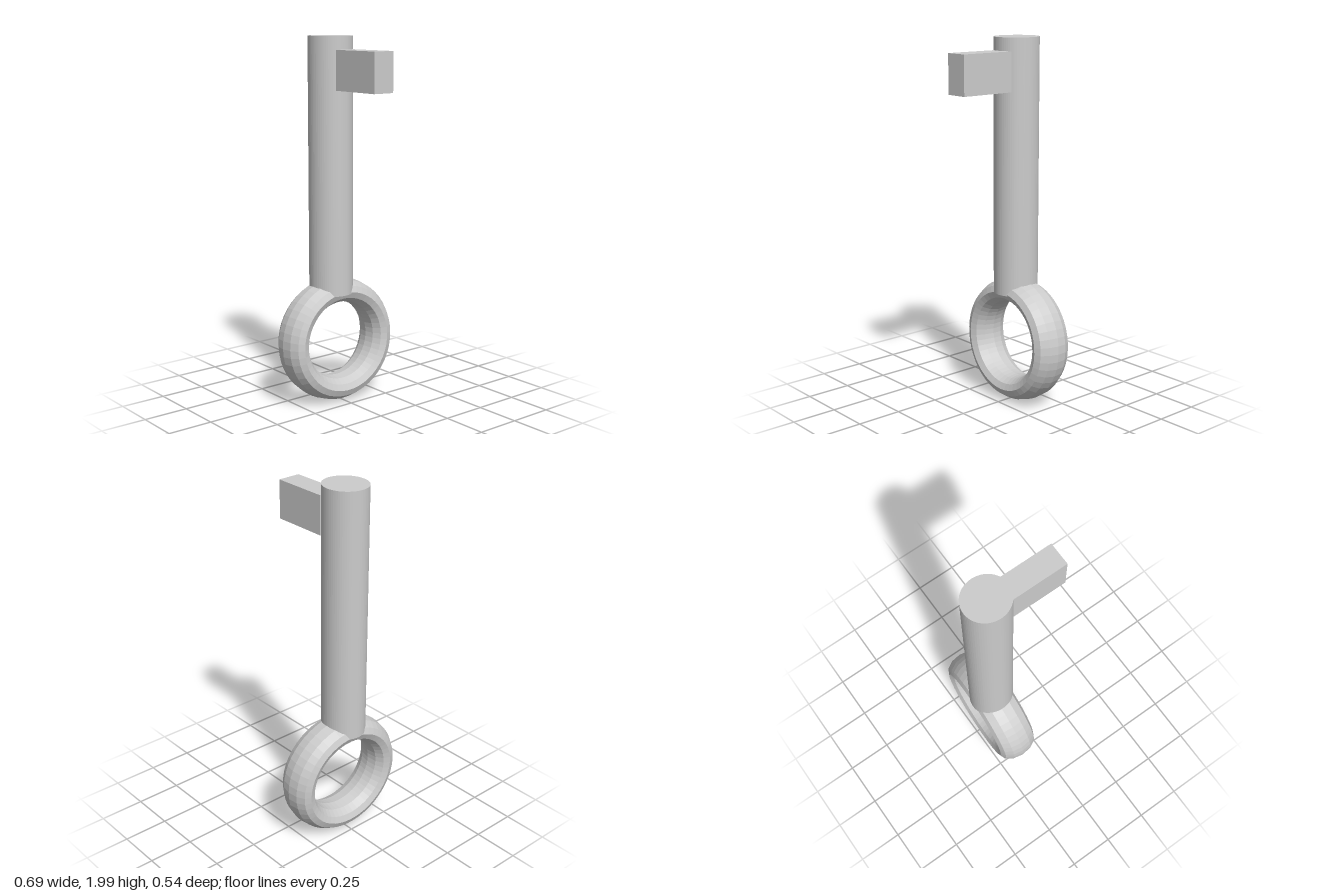
import * as THREE from 'three';

export function createModel() {
  const model = new THREE.Group();
  model.name = 'key';
  const faceted = new THREE.MeshStandardMaterial({ color: 0xcccccc, flatShading: true });

  function add(name, geometry, x, y, z) {
    const mesh = new THREE.Mesh(geometry, faceted);
    mesh.name = name;
    mesh.position.set(x, y, z);
    model.add(mesh);
    return mesh;
  }

  // Slightly oval round shaft, closed at both ends
  const shaft = add('shaft', new THREE.CylinderGeometry(1, 1, 1.385, 64), -0.022, 1.3075, -0.147);
  shaft.scale.set(0.117, 1, 0.124);

  // Single rectangular bit, with its back end sunk into the shaft
  add('bit', new THREE.BoxGeometry(0.126, 0.21, 0.315), -0.01, 1.825, 0.1125);

  // Ring handle: oval tube section, deeper than wide, turned slightly askew
  const tube = 0.068;
  const ringGeometry = new THREE.TorusGeometry(0.279, tube, 12, 48);
  ringGeometry.scale(1, 0.985, 0.112 / tube);
  const ring = add('ringHandle', ringGeometry, 0, 0.347, -0.139);
  ring.rotation.set(-0.035, -0.043, 0);

  return model;
}
